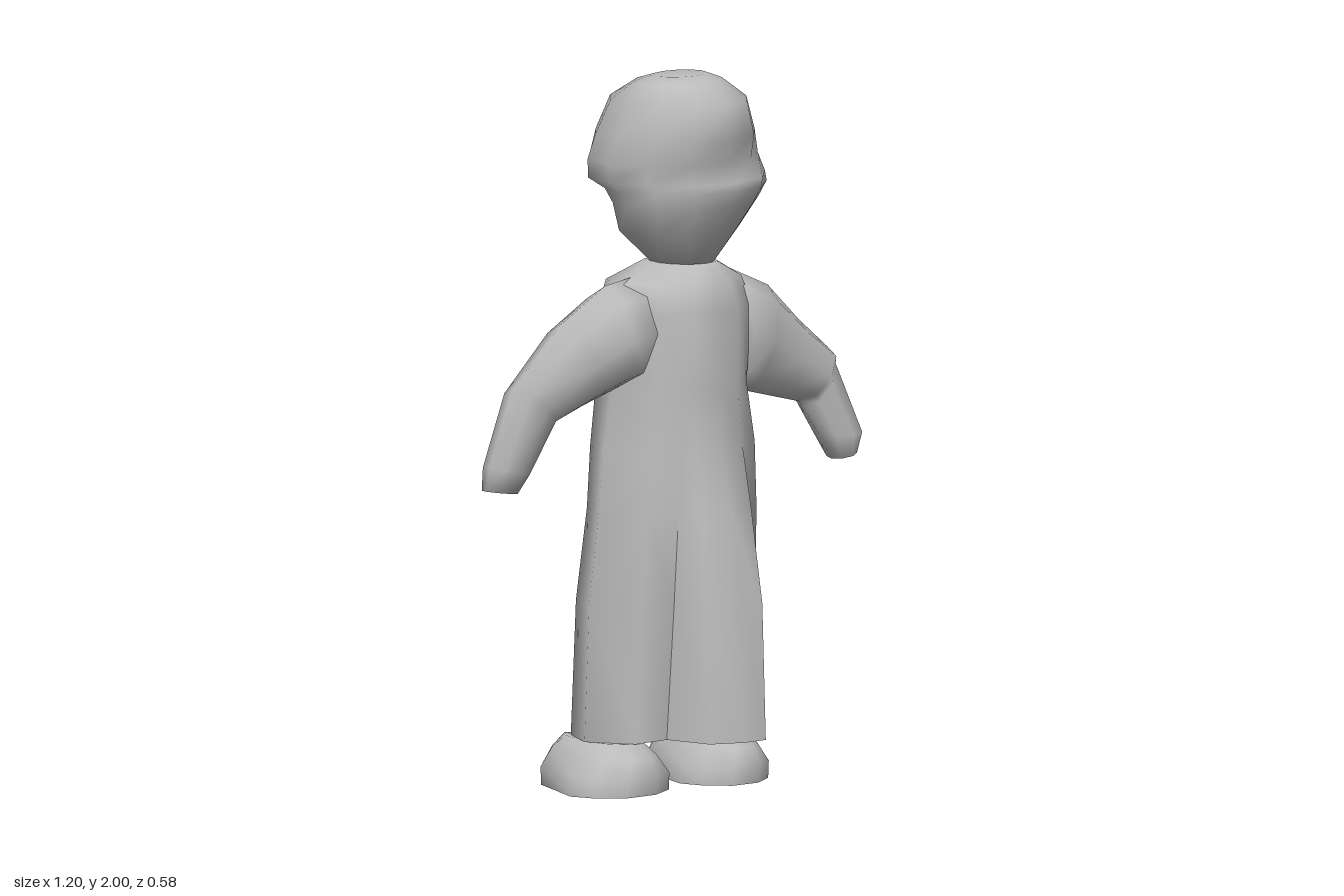
import * as THREE from 'three';
import { toCreasedNormals } from 'three/addons/utils/BufferGeometryUtils.js';

// Skin a closed surface over rings of [x, y, z] points, capping both ends.
function loft(rings, crease) {
  const n = rings[0].length;
  const pos = rings.flat(2);
  const idx = [];
  for (let r = 0; r < rings.length - 1; r++) {
    for (let i = 0; i < n; i++) {
      const a = r * n + i, b = r * n + (i + 1) % n;
      idx.push(a, b, a + n, b, b + n, a + n);
    }
  }
  const cap = (ring, start, flip) => {
    const c = pos.length / 3;
    for (let k = 0; k < 3; k++) pos.push(ring.reduce((s, p) => s + p[k], 0) / n);
    for (let i = 0; i < n; i++) {
      const a = start + i, b = start + (i + 1) % n;
      if (flip) idx.push(c, b, a); else idx.push(c, a, b);
    }
  };
  cap(rings[0], 0, true);
  cap(rings[rings.length - 1], (rings.length - 1) * n, false);

  // Turn the faces outward when the enclosed volume is negative.
  const at = i => new THREE.Vector3(pos[3 * i], pos[3 * i + 1], pos[3 * i + 2]);
  let volume = 0;
  for (let t = 0; t < idx.length; t += 3) {
    volume += at(idx[t]).dot(at(idx[t + 1]).cross(at(idx[t + 2])));
  }
  if (volume < 0) idx.reverse();

  const geo = new THREE.BufferGeometry();
  geo.setAttribute('position', new THREE.Float32BufferAttribute(pos, 3));
  geo.setIndex(idx);
  geo.computeVertexNormals();
  return crease ? toCreasedNormals(geo, crease) : geo;
}

// Horizontal oval ring from its bounds.
function oval([y, x0, x1, z0, z1]) {
  return Array.from({ length: 12 }, (_, i) => {
    const a = (i / 12) * Math.PI * 2;
    return [(x0 + x1) / 2 + (x1 - x0) / 2 * Math.cos(a), y,
      (z0 + z1) / 2 + (z1 - z0) / 2 * Math.sin(a)];
  });
}

// Robe ring: a raised front panel between two folds, then the rounded sides and back.
function robeRing([y, x0, x1, z0, z1, left, right, front]) {
  const flare = front - z1;
  const panel = [[left, y, z1 - 0.01 - 0.25 * flare], [left + 0.025, y, z1 + 0.7 * flare],
    [left * 0.45 + right * 0.55, y, front], [right - 0.02, y, front],
    [right + 0.01, y, z1]];
  const soft = v => Math.sign(v) * Math.abs(v) ** 0.82;
  const body = [45, 0, -45, -90, -135, -180, -225].map(deg => {
    const a = THREE.MathUtils.degToRad(deg);
    return [(x0 + x1) / 2 + (x1 - x0) / 2 * soft(Math.cos(a)), y,
      (z0 + z1) / 2 + (z1 - z0) / 2 * soft(Math.sin(a))];
  });
  return [...panel, ...body];
}

// Arm ring between an upper and a lower edge point, with its depth.
function armRing([tx, ty, bx, by, z, rz]) {
  return Array.from({ length: 8 }, (_, i) => {
    const a = (i / 8) * Math.PI * 2, c = Math.cos(a) / 2;
    return [(tx + bx) / 2 + (tx - bx) * c, (ty + by) / 2 + (ty - by) * c, z + rz * Math.sin(a)];
  });
}

// Foot narrowing from the sole outline to a long instep.
function foot(ax, az, width) {
  const sole = [[-.09, .21], [.01, .215], [.1, .165], [.14, .08], [.08, -.18],
    [0, -.22], [-.08, -.16], [-.17, .07], [-.15, .14]];
  const levels = [[0, 0.97, 0.96], [0.05, 0.93, 1], [0.1, 0.65, 0.9], [0.14, 0.42, 0.68]];
  return loft(levels.map(([y, sx, sz]) =>
    sole.map(([x, z]) => [ax + x * sx * width, y, az + z * sz])), 1.2);
}

export function createModel() {
  const group = new THREE.Group();
  const grey = new THREE.MeshStandardMaterial({ color: 0xbbbbbb });
  grey.name = 'plain grey';
  const add = (name, geo) => {
    const mesh = new THREE.Mesh(geo, grey);
    mesh.name = name;
    group.add(mesh);
  };

  // Robe with a front panel that flares toward the hem
  add('robe', loft([
    [0.14, -.365, .225, -.2, .15, -.17, .05, .295],
    [0.52, -.35, .245, -.195, .15, -.15, .07, .26],
    [0.78, -.32, .245, -.175, .145, -.14, .08, .205],
    [0.95, -.295, .24, -.185, .14, -.13, .09, .16],
    [1.12, -.26, .2, -.19, .14, -.12, .08, .15],
    [1.34, -.25, .22, -.19, .14, -.12, .08, .15],
    [1.42, -.24, .19, -.16, .12, -.1, .06, .14],
    [1.47, -.1, .08, -.11, .09, -.05, .03, .1],
  ].map(robeRing), 1.2));

  // Head, with the hair overhanging at the back and at one side
  const head = [
    [1.47, -.1, .07, -.1, .1], [1.56, -.2, .17, -.16, .145], [1.64, -.225, .225, -.18, .185],
    [1.68, -.24, .258, -.21, .197], [1.705, -.25, .27, -.29, .2], [1.76, -.26, .24, -.275, .196],
    [1.83, -.245, .21, -.255, .21], [1.93, -.22, .16, -.2, .21], [1.985, -.17, .09, -.1, .13],
    [2, -.12, .05, -.05, .08],
  ].map(oval);
  // Hollow below the brow
  for (const p of head.flat()) {
    if (p[1] > 1.72 && p[1] < 1.8 && p[0] > -0.02 && p[0] < 0.16 && p[2] > 0) p[2] -= 0.018;
  }
  add('head', loft(head));

  // Arms, from shoulder to hand
  add('rightArm', loft([
    [-.15, 1.445, -.2, 1.14, -.01, .11], [-.28, 1.42, -.26, 1.12, -.03, .11],
    [-.4, 1.32, -.32, 1.08, -.08, .1], [-.54, 1.14, -.4, 1.03, -.135, .075],
    [-.59, .92, -.46, .89, -.175, .065], [-.6, .855, -.49, .84, -.18, .045],
  ].map(armRing)));
  add('leftArm', loft([
    [.13, 1.44, .16, 1.1, .03, .1], [.3, 1.37, .21, 1.08, .02, .085],
    [.42, 1.26, .33, 1.05, .02, .075], [.52, 1.175, .41, 1.03, .03, .078],
    [.515, 1.155, .425, 1.01, .035, .07], [.6, .935, .46, .93, .065, .065],
    [.57, .88, .49, .865, .08, .045],
  ].map(armRing)));

  // Feet
  add('rightFoot', foot(-.275, -.05, 1.12));
  add('leftFoot', foot(.095, -.02, 0.97));

  return group;
}
